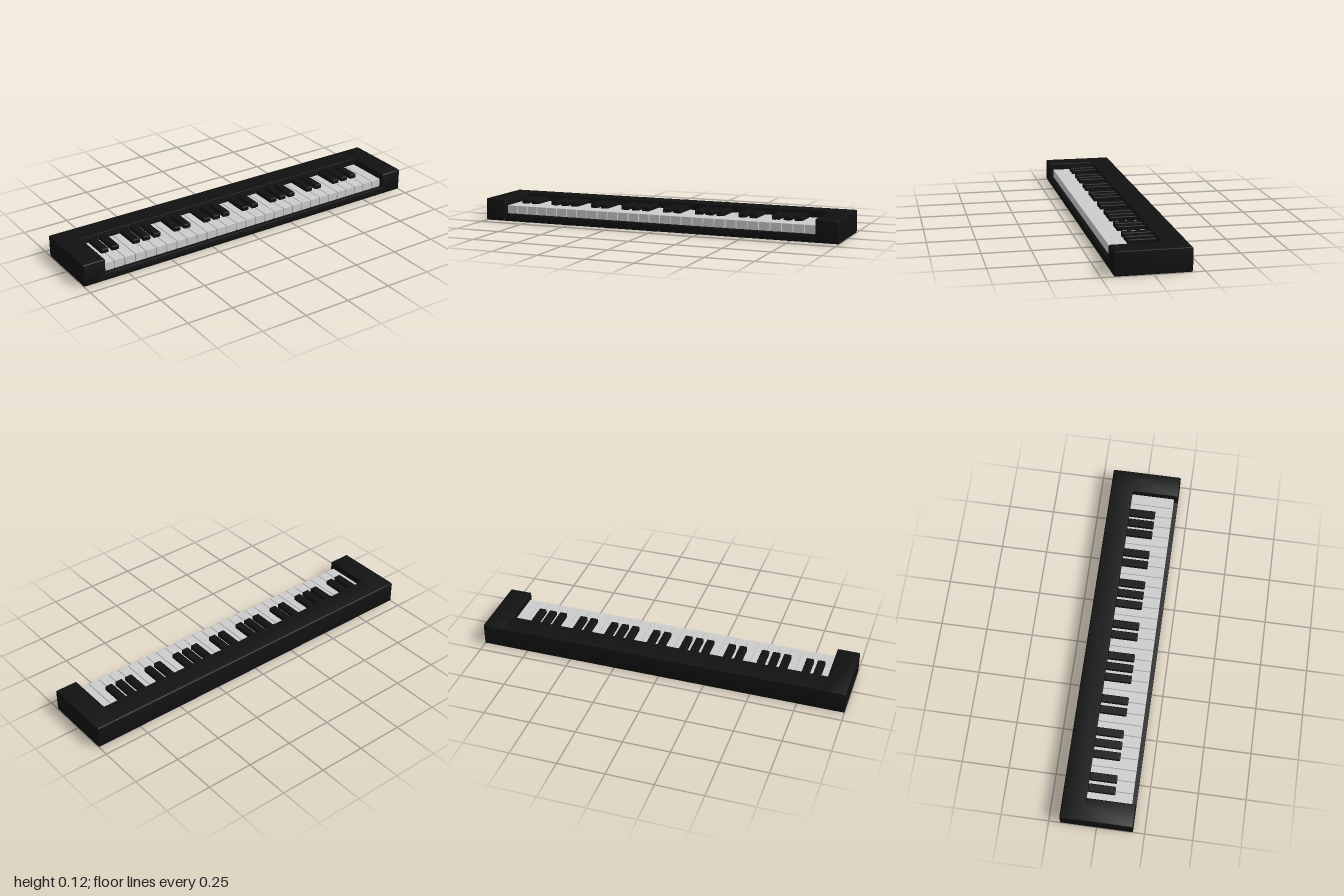
import * as THREE from 'three';
import { toCreasedNormals } from 'three/addons/utils/BufferGeometryUtils.js';
import { RoundedBoxGeometry } from 'three/addons/geometries/RoundedBoxGeometry.js';

const HEIGHT = 0.121, HALF_DEPTH = 0.19;
const KEY_HALF = 0.88, KEYS = 29, PITCH = (2 * KEY_HALF) / KEYS;
const KEY_BACK = -0.068, KEY_FRONT = 0.167, LIP = 0.041;

// Closed outline from [z, y, corner radius] points, with rounded corners
function roundedShape(points) {
  const shape = new THREE.Shape();
  points.forEach(([z, y, r], i) => {
    const p = new THREE.Vector2(-z, y);
    const near = ([nz, ny]) => new THREE.Vector2(-nz, ny).sub(p).setLength(r).add(p);
    const a = near(points[(i + points.length - 1) % points.length]);
    const b = near(points[(i + 1) % points.length]);
    if (i === 0) shape.moveTo(a.x, a.y); else shape.lineTo(a.x, a.y);
    shape.quadraticCurveTo(p.x, p.y, b.x, b.y);
  });
  shape.closePath();
  return shape;
}

// Side profile extruded along x between x0 and x1
function alongX(points, x0, x1, bevel) {
  const geo = new THREE.ExtrudeGeometry(roundedShape(points), {
    depth: x1 - x0 - 2 * bevel, curveSegments: 5, bevelEnabled: bevel > 0,
    bevelSize: bevel, bevelThickness: bevel, bevelOffset: -bevel, bevelSegments: 3,
  });
  geo.rotateY(Math.PI / 2).translate(x0 + bevel, 0, 0);
  return toCreasedNormals(geo, 0.6);
}

export function createModel() {
  const group = new THREE.Group();
  const black = new THREE.MeshStandardMaterial({ color: 0x111111 });
  const ivory = new THREE.MeshStandardMaterial({ color: 0xcccccc });
  const add = (name, geo, mat, parent = group) => {
    const mesh = new THREE.Mesh(geo, mat);
    mesh.name = name;
    parent.add(mesh);
    return mesh;
  };

  // Casing: stepped middle section with a low front lip, and full-height cheeks
  const r = 0.01;
  add('casingMiddle', alongX([
    [HALF_DEPTH, 0, r], [HALF_DEPTH, LIP, 0.004], [KEY_BACK, LIP, 0.001],
    [KEY_BACK, HEIGHT, 0.002], [-HALF_DEPTH, HEIGHT, r], [-HALF_DEPTH, 0, r],
  ], -KEY_HALF - 0.03, KEY_HALF + 0.03, 0), black);
  const cheek = [[HALF_DEPTH, 0, r], [HALF_DEPTH, HEIGHT, r],
    [-HALF_DEPTH, HEIGHT, r], [-HALF_DEPTH, 0, r]];
  add('leftCheek', alongX(cheek, KEY_HALF, 1, 0.004), black);
  add('rightCheek', alongX(cheek, -1, -KEY_HALF, 0.004), black);

  // White keys, with a black key on every boundary of the octave pattern
  const whiteKeys = new THREE.Group(), blackKeys = new THREE.Group();
  whiteKeys.name = 'whiteKeys';
  blackKeys.name = 'blackKeys';
  group.add(whiteKeys, blackKeys);
  const whiteGeo = new RoundedBoxGeometry(PITCH - 0.003, 0.046, KEY_FRONT - KEY_BACK, 2, 0.002);
  const blackGeo = new RoundedBoxGeometry(0.041, 0.05, 0.143, 2, 0.005);
  for (let i = 0; i < KEYS; i++) {
    const x = -KEY_HALF + i * PITCH;
    add('whiteKey', whiteGeo, ivory, whiteKeys)
      .position.set(x + PITCH / 2, 0.063, (KEY_FRONT + KEY_BACK) / 2);
    if (i > 0 && [1, 2, 4, 5, 6].includes(i % 7)) {
      add('blackKey', blackGeo, black, blackKeys).position.set(x, 0.084, KEY_BACK + 0.0715);
    }
  }
  return group;
}
